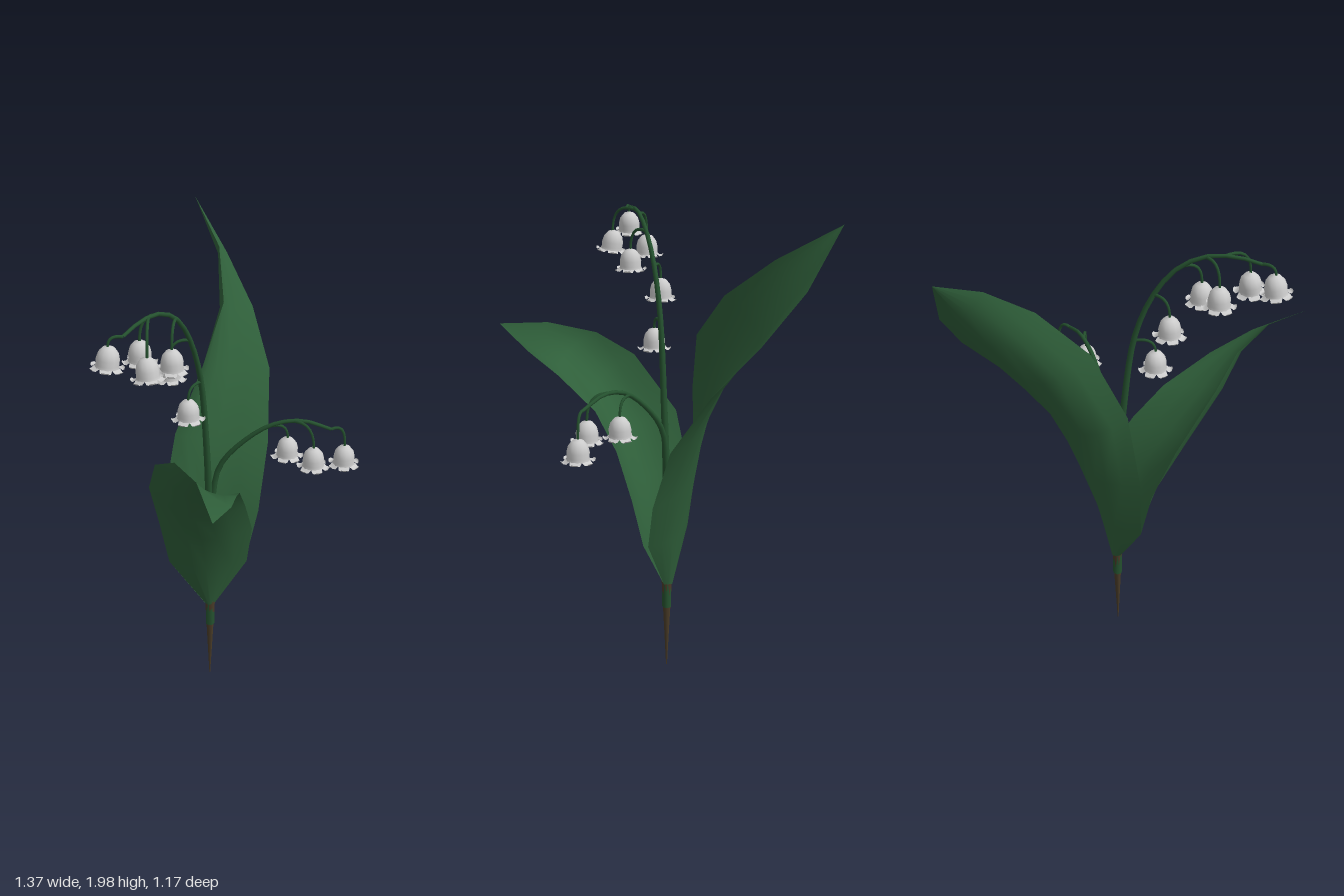
import * as THREE from 'three';

const V = (p) => new THREE.Vector3(...p);
const green = new THREE.MeshStandardMaterial({ color: 0x2f5f3a, side: THREE.DoubleSide });
const stemGreen = new THREE.MeshStandardMaterial({ color: 0x25522f });
const brown = new THREE.MeshStandardMaterial({ color: 0x4a3c28 });
const petal = new THREE.MeshStandardMaterial({ color: 0xcccccc, side: THREE.DoubleSide });

function mesh(name, geometry, material) {
  const m = new THREE.Mesh(geometry, material);
  m.name = name;
  return m;
}

// Surface through rows of points, joined in a grid
function gridGeometry(rows) {
  const n = rows[0].length, index = [];
  for (let i = 0; i < rows.length - 1; i++)
    for (let j = 0; j < n - 1; j++) {
      const a = i * n + j;
      index.push(a, a + 1, a + n, a + 1, a + n + 1, a + n);
    }
  const g = new THREE.BufferGeometry().setFromPoints(rows.flat());
  g.setIndex(index);
  g.computeVertexNormals();
  return g;
}

// Leaf blade: each row is [one edge, keel, other edge], rounded across
function leaf(name, sections) {
  const cols = 6;
  const rows = sections.map(([a, k, b]) => {
    const row = [];
    for (let j = 0; j <= cols; j++) {
      const u = j / cols;
      row.push(new THREE.Vector3()
        .addScaledVector(V(a), (1 - u) * (1 - 2 * u))
        .addScaledVector(V(k), 4 * u * (1 - u))
        .addScaledVector(V(b), u * (2 * u - 1)));
    }
    return row;
  });
  return mesh(name, gridGeometry(rows), green);
}

// Tube that tapers from radius r0 to r1
function taperedTube(name, curve, segs, r0, r1, sides) {
  const g = new THREE.TubeGeometry(curve, segs, 1, sides);
  const pos = g.attributes.position, v = new THREE.Vector3();
  for (let i = 0; i < pos.count; i++) {
    const t = Math.floor(i / (sides + 1)) / segs;
    const c = curve.getPointAt(t);
    v.fromBufferAttribute(pos, i).sub(c).multiplyScalar(r0 + (r1 - r0) * t).add(c);
    pos.setXYZ(i, v.x, v.y, v.z);
  }
  return mesh(name, g, stemGreen);
}

// Bell body and one curled lobe, shared by all flowers
const bellGeometry = new THREE.LatheGeometry(
  [[0.046, -0.036], [0.043, -0.025], [0.044, -0.004], [0.038, 0.02], [0.023, 0.039], [0, 0.047]]
    .map(([r, y]) => new THREE.Vector2(r, y)), 12);
const lobeGeometry = gridGeometry(
  [[0.044, -0.034, 0.023], [0.056, -0.043, 0.021], [0.065, -0.042, 0.016], [0.069, -0.036, 0.011]]
    .map(([r, y, w]) => [-1, 0, 1].map((s) => new THREE.Vector3(r - (s ? 0.003 : 0), y, s * w))));

function flower([x, y, z], turn, tiltX = 0, tiltZ = 0) {
  const f = new THREE.Group();
  f.name = 'bellFlower';
  f.add(mesh('bell', bellGeometry, petal));
  for (let i = 0; i < 6; i++) {
    const lobe = mesh('petalLobe', lobeGeometry, petal);
    lobe.rotation.y = i * Math.PI / 3 + turn;
    f.add(lobe);
  }
  f.position.set(x, y, z);
  f.rotation.set(tiltX, 0, tiltZ);
  return f;
}

// Flower stalk with bells hanging from short arched pedicels
function spray(name, path, r0, flowers) {
  const g = new THREE.Group();
  g.name = name;
  g.add(taperedTube('stalk', new THREE.CatmullRomCurve3(path.map(V)), 28, r0, 0.007, 7));
  flowers.forEach(({ from, at, tilt = [0, 0] }, i) => {
    const end = V(at).add(new THREE.Vector3(0, 0.042, 0));
    const bend = new THREE.Vector3(end.x, Math.max(from[1] + 0.02, end.y + 0.02), end.z);
    g.add(taperedTube('pedicel', new THREE.QuadraticBezierCurve3(V(from), bend, end), 8, 0.007, 0.005, 5));
    g.add(flower(at, i * 0.7, ...tilt));
  });
  return g;
}

export function createModel() {
  const model = new THREE.Group();
  model.name = 'bellFlowerPlant';

  // Pointed base that wraps the foot of leaves and stalks
  const base = mesh('base', new THREE.CylinderGeometry(0.022, 0.002, 0.4, 8), brown);
  base.position.set(-0.055, 0.225, -0.075);
  model.add(base);

  // Tall leaf leaning to the back
  model.add(leaf('tallLeaf', [
    [[-0.067, 0.41, -0.055], [-0.078, 0.41, -0.088], [-0.043, 0.41, -0.095]],
    [[-0.14, 0.64, 0.08], [-0.11, 0.635, -0.1], [0.02, 0.63, -0.21]],
    [[-0.165, 0.92, 0.09], [-0.15, 0.87, -0.13], [0, 0.83, -0.29]],
    [[-0.157, 1.24, 0.03], [-0.215, 1.14, -0.14], [-0.07, 1.1, -0.39]],
    [[-0.17, 1.5, -0.12], [-0.285, 1.39, -0.27], [-0.22, 1.36, -0.51]],
    [[-0.27, 1.7, -0.3], [-0.38, 1.6, -0.38], [-0.4, 1.57, -0.555]],
    [[-0.45, 1.86, -0.41], [-0.505, 1.795, -0.45], [-0.56, 1.77, -0.535]],
    [[-0.69, 2, -0.46], [-0.69, 2, -0.46], [-0.69, 2, -0.46]],
  ]));

  // Shorter leaf arching to the front
  model.add(leaf('archedLeaf', [
    [[-0.072, 0.41, -0.058], [-0.04, 0.41, -0.06], [-0.043, 0.41, -0.095]],
    [[-0.14, 0.64, 0.08], [-0.01, 0.635, -0.02], [0.04, 0.63, -0.2]],
    [[-0.14, 0.86, 0.13], [0.04, 0.83, 0.04], [0.085, 0.82, -0.19]],
    [[-0.09, 1.08, 0.21], [0.11, 1.01, 0.14], [0.15, 1, -0.1]],
    [[0.09, 1.3, 0.3], [0.24, 1.2, 0.235], [0.24, 1.14, 0]],
    [[0.25, 1.39, 0.32], [0.365, 1.32, 0.28], [0.4, 1.25, 0.14]],
    [[0.46, 1.42, 0.37], [0.51, 1.365, 0.325], [0.54, 1.32, 0.27]],
    [[0.68, 1.39, 0.46], [0.68, 1.39, 0.46], [0.68, 1.39, 0.46]],
  ]));

  // Tall spray with six bells
  model.add(spray('tallSpray', [
    [-0.055, 0.3, -0.075], [-0.052, 0.9, -0.065], [-0.042, 1.2, -0.045], [-0.025, 1.55, 0],
    [0.003, 1.75, 0.075], [0.035, 1.86, 0.16], [0.07, 1.915, 0.27], [0.11, 1.91, 0.4], [0.125, 1.895, 0.45],
  ], 0.02, [
    { from: [-0.027, 1.52, -0.005], at: [0, 1.43, 0.075] },
    { from: [0, 1.73, 0.067], at: [-0.025, 1.62, 0.145] },
    { from: [0.035, 1.855, 0.155], at: [0.1, 1.725, 0.22] },
    { from: [0.065, 1.905, 0.245], at: [0.035, 1.765, 0.32] },
    { from: [0.082, 1.915, 0.31], at: [0.18, 1.77, 0.385], tilt: [0, 0.15] },
    { from: [0.125, 1.895, 0.45], at: [0.115, 1.825, 0.51], tilt: [-0.15, 0] },
  ]));

  // Short spray with three bells, leaning to the back
  model.add(spray('shortSpray', [
    [-0.055, 0.3, -0.078], [-0.052, 0.95, -0.085], [-0.035, 1.1, -0.11], [0.03, 1.22, -0.18],
    [0.11, 1.305, -0.27], [0.185, 1.325, -0.36], [0.26, 1.29, -0.45],
  ], 0.018, [
    { from: [0.09, 1.29, -0.25], at: [0.125, 1.185, -0.335] },
    { from: [0.16, 1.322, -0.33], at: [0.25, 1.18, -0.37] },
    { from: [0.26, 1.29, -0.45], at: [0.275, 1.155, -0.515] },
  ]));

  return model;
}
